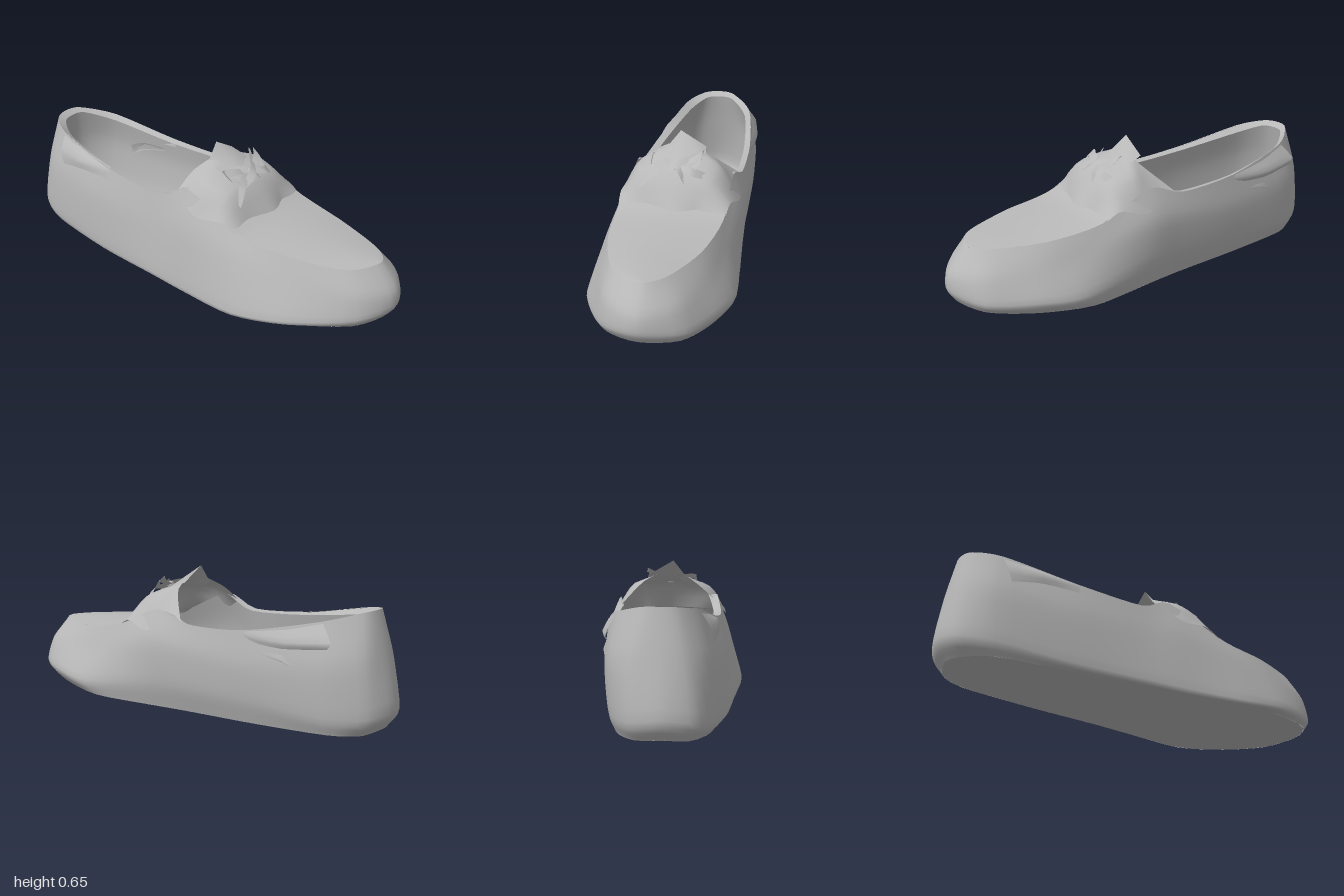
import * as THREE from 'three';
import { mergeVertices } from 'three/addons/utils/BufferGeometryUtils.js';

const V = (x, y, z) => new THREE.Vector3(x, y, z);
const N = 18; // stations round the shoe: 0 heel, 9 toe, right side first

// Closed contours, one [x, y, z] per station
const SOLE = [
  [-.1, .03, -.95], [-.2, .02, -.91], [-.27, .02, -.78], [-.3, .01, -.45], [-.31, .005, -.1], [-.32, .005, .1],
  [-.32, .01, .34], [-.26, .03, .64], [-.12, .055, .89], [.05, .07, .97], [.21, .055, .89], [.29, .03, .68],
  [.32, .01, .42], [.25, .005, .1], [.21, .005, -.1], [.165, .01, -.45], [.11, .02, -.8], [.02, .02, -.92]];
const WIDE = [
  [-.1, .12, -1], [-.23, .1, -.95], [-.295, .08, -.8], [-.325, .04, -.45], [-.335, .03, -.1], [-.34, .025, .1],
  [-.348, .025, .4], [-.29, .06, .65], [-.13, .1, .915], [.05, .12, 1], [.23, .1, .905], [.318, .09, .7],
  [.345, .08, .48], [.285, .13, .1], [.25, .13, -.1], [.2, .12, -.45], [.14, .1, -.8], [.04, .1, -.96]];
const MIDDLE = [
  [-.09, .36, -.96], [-.2, .34, -.93], [-.28, .32, -.8], [-.31, .28, -.45], [-.302, .27, -.1], [-.3, .3, .1],
  [-.285, .25, .38], [-.235, .22, .63], [-.12, .21, .895], [.05, .2, .99], [.2, .21, .89], [.265, .21, .67],
  [.286, .23, .44], [.286, .32, .1], [.26, .3, -.1], [.215, .28, -.45], [.15, .32, -.8], [.04, .34, -.94]];
const RIM = [
  [-.08, .55, -.92], [-.16, .545, -.89], [-.23, .52, -.76], [-.27, .45, -.42], [-.27, .425, -.1], [-.24, .49, .06],
  [-.24, .36, .36], [-.2, .33, .6], [-.1, .31, .83], [.05, .31, .91], [.14, .31, .83], [.22, .32, .6],
  [.25, .36, .34], [.23, .47, .08], [.235, .42, -.1], [.2, .435, -.42], [.12, .505, -.76], [0, .545, -.9]];
const COLLAR = [
  [-.07, .53, -.885], [-.14, .525, -.86], [-.2, .49, -.74], [-.235, .44, -.42], [-.235, .42, -.1], [-.2, .49, .02],
  [-.15, .5, .06], [-.1, .5, .08], [-.03, .52, .09], [0, .52, .09], [.03, .52, .09], [.08, .5, .09],
  [.13, .48, .07], [.2, .44, -.03], [.205, .415, -.12], [.17, .425, -.42], [.1, .48, -.74], [0, .525, -.87]];

const ring = pts => new THREE.CatmullRomCurve3(pts.map(p => V(...p)), true, 'catmullrom', 0.4);
const line = pts => new THREE.CatmullRomCurve3(pts, false, 'catmullrom', 0.4);

// Smooth skin over a grid of points
function loft(rows) {
  const pos = [], idx = [], w = rows[0].length;
  rows.forEach(r => r.forEach(p => pos.push(p.x, p.y, p.z)));
  for (let i = 0; i < rows.length - 1; i++) {
    for (let j = 0; j < w - 1; j++) {
      const a = i * w + j, c = a + w;
      idx.push(a, a + 1, c, a + 1, c + 1, c);
    }
  }
  let g = new THREE.BufferGeometry();
  g.setAttribute('position', new THREE.Float32BufferAttribute(pos, 3));
  g.setIndex(idx);
  g = mergeVertices(g, 1e-5);
  g.computeVertexNormals();
  return g;
}

// Skin between stacked contours from parameter t0 to t1
function skin(rings, t0, t1, cols, steps) {
  const columns = [];
  for (let j = 0; j <= cols; j++) {
    const t = t0 + (t1 - t0) * j / cols;
    const u = ((t % 1) + 1) % 1;
    columns.push(line(rings.map(r => r.getPoint(u))).getPoints(steps));
  }
  return loft(columns[0].map((_, i) => columns.map(c => c[i])));
}

// Surface across a contour, joining matching points of the two sides
function across(curve, t0, t1, crown) {
  const rows = [];
  for (let i = 0; i <= 20; i++) {
    const t = t0 + (t1 - t0) * i / 20;
    const a = curve.getPoint(t), b = curve.getPoint((1 - t) % 1), row = [];
    for (let j = 0; j <= 8; j++) {
      const p = a.clone().lerp(b, j / 8);
      p.y += crown * Math.sin(Math.PI * j / 8) * Math.min(1, a.distanceTo(b) / 0.3);
      row.push(p);
    }
    rows.push(row);
  }
  return loft(rows);
}

// Smooth patch through a few cross-sections
function patch(sections, cols, steps) {
  const fine = sections.map(s => line(s.map(p => V(...p))).getPoints(cols));
  const columns = fine[0].map((_, j) => line(fine.map(r => r[j])).getPoints(steps));
  return loft(columns[0].map((_, i) => columns.map(c => c[i])));
}

// Tapered flat lace along a path
function ribbon(points, width) {
  const pts = line(points.map(p => V(...p))).getPoints(10);
  const side = d => pts.map((p, i) => {
    const w = d * width * (0.35 + 0.65 * Math.sin(Math.PI * i / 10));
    return V(p.x, p.y + w * 0.6, p.z - w * 0.8);
  });
  return loft([side(-0.5), side(0.5)]);
}

export function createModel() {
  const shoe = new THREE.Group();
  shoe.name = 'slipOnShoe';
  const leather = new THREE.MeshStandardMaterial({ color: 0xb8b8b8, side: THREE.DoubleSide });
  leather.name = 'grey leather';
  const add = (name, geometry, parent = shoe) => {
    const m = new THREE.Mesh(geometry, leather);
    m.name = name;
    parent.add(m);
    return m;
  };

  const sole = ring(SOLE), wide = ring(WIDE), middle = ring(MIDDLE), rim = ring(RIM), collar = ring(COLLAR);

  // Thin shell: sole, wall, toe apron and the collar turned in round the opening
  add('sole', across(sole, 0, 0.5, 0));
  add('wall', skin([sole, wide, middle, rim], 0, 1, 72, 12));
  add('toeApron', across(rim, 0.5, 5.8 / N, 0.015));
  add('collar', skin([rim, collar], -5 / N, 5 / N, 40, 1));

  // Raised saddle over the instep
  add('saddle', patch([
    [[-.24, .35, .36], [-.12, .36, .33], [.03, .33, .38], [.12, .36, .33], [.25, .34, .35]],
    [[-.262, .4, .25], [-.17, .49, .25], [0, .51, .25], [.15, .49, .25], [.258, .4, .25]],
    [[-.278, .39, .12], [-.2, .52, .13], [-.03, .56, .13], [.17, .53, .13], [.274, .37, .12]],
    [[-.245, .46, -.01], [-.15, .54, .01], [-.03, .6, .07], [.11, .55, .06], [.23, .42, -.07]],
  ], 16, 10));

  // Pointed tongue standing up at the throat
  add('tongue', patch([
    [[-.13, .52, .14], [-.03, .55, .18], [.11, .54, .14]],
    [[-.1, .56, .05], [-.03, .65, .045], [.09, .58, .04]],
  ], 2, 1));

  // Tied lace: loops, ends and knot
  const bow = new THREE.Group();
  bow.name = 'bow';
  shoe.add(bow);
  const laces = {
    leftLoop: [[0, .54, .21], [.07, .57, .2], [.11, .59, .17], [.08, .54, .23], [0, .53, .22]],
    rightLoop: [[0, .54, .21], [-.07, .56, .2], [-.13, .56, .18], [-.09, .52, .25], [0, .53, .22]],
    leftEnd: [[0, .55, .21], [.08, .53, .25], [.17, .49, .2]],
    rightEnd: [[0, .55, .21], [-.09, .52, .25], [-.16, .45, .29]],
    leftCross: [[-.09, .5, .25], [0, .55, .24], [.11, .59, .13]],
    rightCross: [[.05, .48, .27], [0, .55, .23], [-.12, .57, .12]],
  };
  for (const [name, path] of Object.entries(laces)) add(name, ribbon(path, 0.045), bow);
  const knot = add('knot', new THREE.SphereGeometry(0.02, 8, 6), bow);
  knot.position.set(0, .54, .22);

  // Small pointed folds of leather below the collar, beside the heel
  add('rightFold', patch([
    [[-.285, .4, -.42], [-.29, .4, -.6], [-.28, .38, -.74]],
    [[-.275, .44, -.42], [-.29, .445, -.6], [-.27, .45, -.76]],
    [[-.26, .45, -.42], [-.25, .485, -.6], [-.225, .52, -.77]],
  ], 6, 4));
  add('leftFold', patch([
    [[.2, .39, -.42], [.185, .38, -.62], [.14, .4, -.82]],
    [[.203, .41, -.42], [.192, .41, -.64], [.142, .43, -.84]],
    [[.2, .43, -.42], [.168, .46, -.62], [.115, .5, -.78]],
  ], 6, 4));
  add('leftCrease', patch([
    [[.2, .34, -.5], [.184, .32, -.62], [.168, .27, -.7]],
    [[.2, .345, -.5], [.192, .33, -.62], [.168, .3, -.7]],
    [[.195, .36, -.5], [.178, .36, -.62], [.16, .33, -.7]],
  ], 4, 2));
  return shoe;
}
